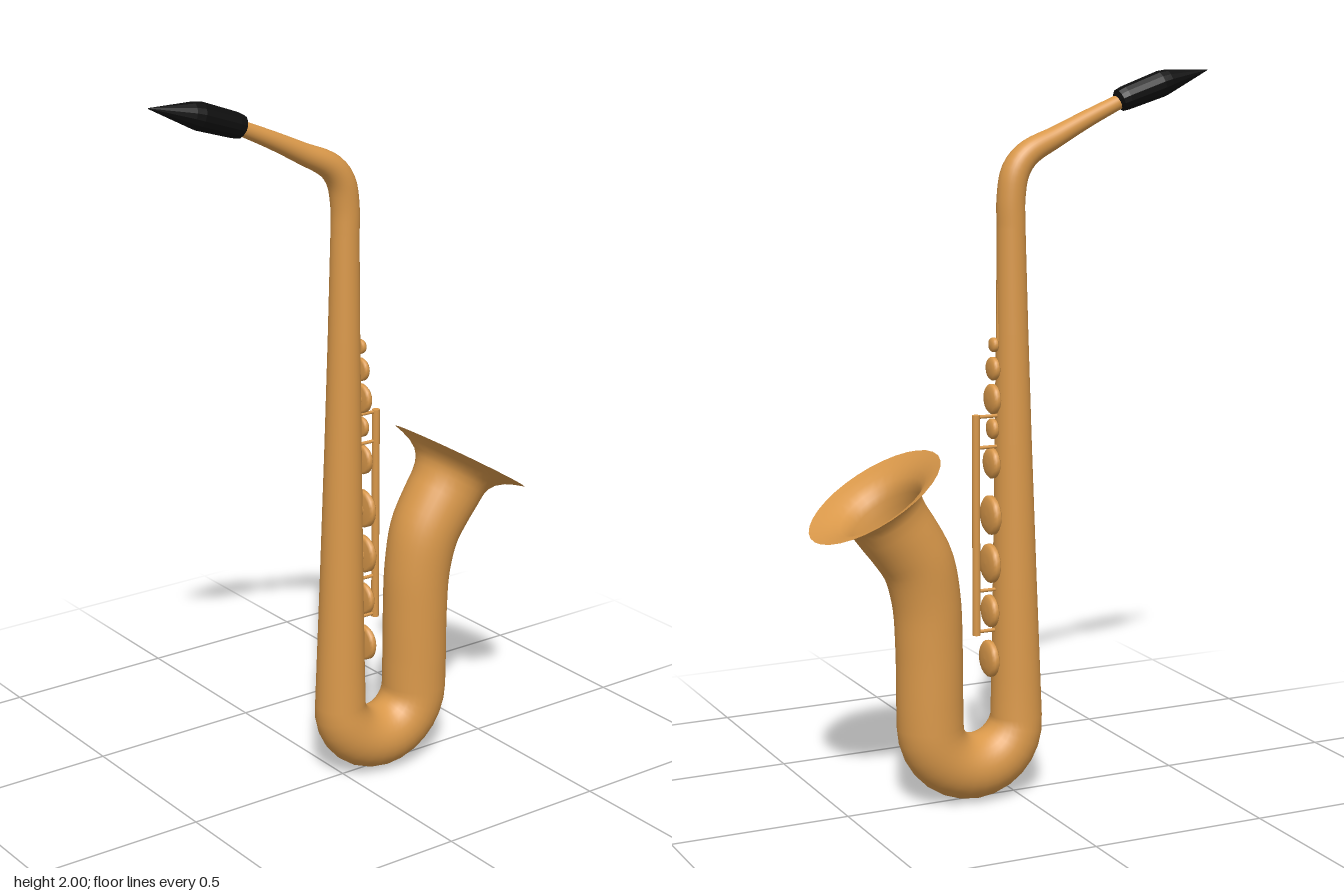
import * as THREE from 'three';

// Sweep a round section along [x, y, radius] stations lying in the z = 0 plane.
function sweep(stations, sides) {
  const pos = [], idx = [], last = stations.length - 1;
  stations.forEach(([x, y, r], i) => {
    const p = stations[Math.max(i - 1, 0)], n = stations[Math.min(i + 1, last)];
    const t = new THREE.Vector2(n[0] - p[0], n[1] - p[1]).normalize();
    for (let j = 0; j < sides; j++) {
      const a = (j / sides) * Math.PI * 2, c = Math.cos(a) * r;
      pos.push(x - t.y * c, y + t.x * c, Math.sin(a) * r);
      if (i < last) {
        const k = (j + 1) % sides, a0 = i * sides, b0 = a0 + sides;
        idx.push(a0 + j, a0 + k, b0 + j, a0 + k, b0 + k, b0 + j);
      }
    }
  });
  const g = new THREE.BufferGeometry();
  g.setAttribute('position', new THREE.Float32BufferAttribute(pos, 3));
  g.setIndex(idx);
  g.computeVertexNormals();
  return g;
}

// Smooth a station list; the radius rides along as the third coordinate.
function smooth(stations, count) {
  const curve = new THREE.CatmullRomCurve3(stations.map(s => new THREE.Vector3(...s)));
  return curve.getSpacedPoints(count).map(v => [v.x, v.y, v.z]);
}

export function createModel() {
  const model = new THREE.Group();
  model.name = 'saxophone';
  const brass = new THREE.MeshStandardMaterial({ color: 0xd9984a, side: THREE.DoubleSide });
  brass.name = 'brass';
  const black = new THREE.MeshStandardMaterial({ color: 0x0e0e0e });
  black.name = 'black';
  const add = (name, geo, mat, parent = model) => {
    const m = new THREE.Mesh(geo, mat);
    m.name = name;
    parent.add(m);
    return m;
  };

  // Neck and straight main tube
  const neck = smooth([
    [-0.32, 1.914, 0.02], [-0.22, 1.869, 0.024], [-0.13, 1.825, 0.029], [-0.04, 1.779, 0.036],
    [-0.006, 1.735, 0.039], [0.007, 1.667, 0.039], [0.007, 1.58, 0.039],
  ], 30);
  const tube = [[0.004, 1.3, 0.044], [0.001, 1, 0.051], [-0.004, 0.6, 0.061], [-0.007, 0.35, 0.068]];

  // U-shaped bow
  const bow = [];
  for (let i = 0; i <= 14; i++) {
    const a = Math.PI * (1 + i / 14);
    bow.push([0.123 + 0.131 * Math.cos(a), 0.225 + 0.131 * Math.sin(a),
      0.072 + 0.02 * Math.sin(Math.min(i / 8, 1) * Math.PI / 2)]);
  }

  // Rising bell tube, then the flare along the tilted bell axis
  const rim = [0.412, 0.883], axis = [0.53, 0.848];
  const onAxis = (s, r) => [rim[0] + axis[0] * s, rim[1] + axis[1] * s, r];
  const bell = smooth([
    [0.255, 0.3, 0.092], [0.256, 0.45, 0.092], [0.263, 0.58, 0.094],
    [0.287, 0.685, 0.099], [0.322, 0.746, 0.102], onAxis(-0.1, 0.105),
  ], 22);
  const flare = [[-0.07, 0.108], [-0.05, 0.115], [-0.034, 0.127], [-0.018, 0.15], [-0.007, 0.178], [0, 0.203]]
    .map(([s, r]) => onAxis(s, r));
  add('body', sweep([...neck, ...tube, ...bow, ...bell, ...flare], 32), brass);

  // Mouthpiece: faceted barrel tapering to a tip
  const mouth = sweep([
    [-0.3, 1.908, 0.001], [-0.321, 1.917, 0.031], [-0.34, 1.924, 0.034],
    [-0.446, 1.959, 0.037], [-0.47, 1.966, 0.033], [-0.594, 1.995, 0.001],
  ], 14).toNonIndexed();
  mouth.computeVertexNormals();
  add('mouthpiece', mouth, black);

  // Key pads down the front of the tube: [height, radius]
  const keys = new THREE.Group();
  keys.name = 'keys';
  model.add(keys);
  const surfaceX = y => 0.0625 - 0.0135 * y;
  const padProfile = [[0, -0.5], [0.85, -0.5], [1, -0.3], [1, 0.1], [0.85, 0.35], [0.45, 0.47], [0, 0.5]];
  [[1.27, 0.02], [1.205, 0.032], [1.122, 0.041], [1.04, 0.028], [0.945, 0.042],
    [0.8, 0.054], [0.665, 0.054], [0.53, 0.045], [0.395, 0.051]].forEach(([y, r]) => {
    const depth = 0.014 + r * 0.25;
    const geo = new THREE.LatheGeometry(padProfile.map(([a, b]) => new THREE.Vector2(a * r, b * depth)), 20);
    geo.rotateZ(-Math.PI / 2);
    add('keyPad', geo, brass, keys).position.set(surfaceX(y) + 0.006 + depth / 2, y, 0);
    const stem = new THREE.CylinderGeometry(r * 0.35, r * 0.35, 0.03, 10).rotateZ(Math.PI / 2);
    add('keyStem', stem, brass, keys).position.set(surfaceX(y), y, 0);
  });

  // Slim lever above the top pad
  add('topLever', new THREE.CylinderGeometry(0.002, 0.006, 0.17, 8), brass, keys).position.set(0.046, 1.35, 0);

  // Long rod with its support posts
  add('keyRod', new THREE.CylinderGeometry(0.011, 0.011, 0.615, 12), brass, keys).position.set(0.113, 0.773, 0);
  for (const y of [1.075, 0.99, 0.59, 0.475]) {
    const post = new THREE.CylinderGeometry(0.005, 0.005, 0.075, 8).rotateZ(Math.PI / 2);
    add('rodPost', post, brass, keys).position.set(0.08, y, 0);
  }
  return model;
}
